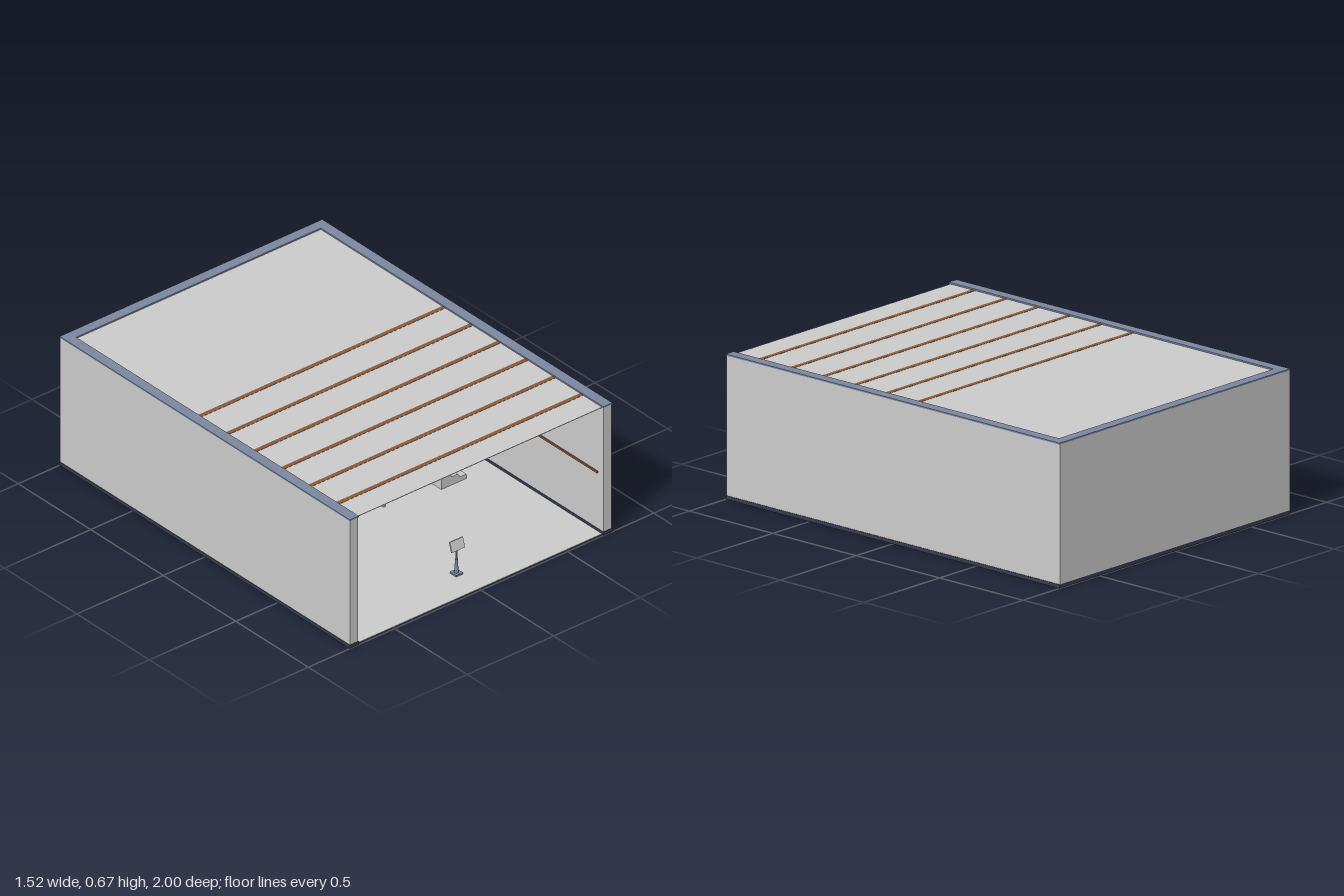
import * as THREE from 'three';

const paint = (name, color, side = THREE.FrontSide) => {
  const m = new THREE.MeshStandardMaterial({ color, side });
  m.name = name;
  return m;
};

export function createModel() {
  const root = new THREE.Group();
  root.name = 'hall';
  const grey = paint('plaster grey', 0xcccccc);
  const slate = paint('slate blue', 0x7c879f);
  const navy = paint('dark navy', 0x363c4e);
  const brown = paint('wood brown', 0x8b5a38);
  const steel = paint('steel grey', 0x8f959d);
  const black = paint('cable black', 0x222226);

  const add = (name, geometry, material, x = 0, y = 0, z = 0, parent = root) => {
    const mesh = new THREE.Mesh(geometry, material);
    mesh.name = name;
    mesh.position.set(x, y, z);
    parent.add(mesh);
    return mesh;
  };
  // Box given by its limits on each axis
  const box = (name, mat, x0, x1, y0, y1, z0, z1, parent = root) =>
    add(name, new THREE.BoxGeometry(x1 - x0, y1 - y0, z1 - z0), mat,
      (x0 + x1) / 2, (y0 + y1) / 2, (z0 + z1) / 2, parent);
  const cyl = (name, mat, r0, r1, h, x, y, z, parent = root) =>
    add(name, new THREE.CylinderGeometry(r0, r1, h, 20), mat, x, y, z, parent);
  const group = (name, x, y, z) => {
    const g = new THREE.Group();
    g.name = name;
    g.position.set(x, y, z);
    root.add(g);
    return g;
  };

  // Floor and ceiling slabs
  box('floor', grey, -0.71, 0.71, 0.001, 0.005, -0.95, 0.99);
  box('ceiling', grey, -0.71, 0.71, 0.664, 0.667, -0.95, 0.99);

  // Walls with skirting below and coping above
  const wall = (x0, x1, z0, z1) => {
    box('wall', grey, x0, x1, 0.018, 0.667, z0, z1);
    box('skirting', navy, x0 - 0.002, x1 + 0.002, 0, 0.018, z0, z1 + 0.002);
    box('coping', slate, x0 - 0.002, x1 + 0.002, 0.667, 0.674, z0, z1 + 0.002);
  };
  wall(-0.758, -0.71, -1, 0.998);
  wall(0.71, 0.758, -1, 0.998);
  wall(-0.71, 0.71, -1, -0.95);

  // Ceiling beams; the front ones show through the ceiling
  for (let i = 0; i < 10; i++) {
    const z = 0.85 - i * 0.19;
    box('beam', brown, -0.708, 0.708, 0.644, i < 6 ? 0.668 : 0.666, z - 0.011, z + 0.011);
  }

  // Stepped stands, wall rails and light strips, mirrored
  for (const s of [-1, 1]) {
    const profile = [[0.4, 0.005], [0.545, 0.005], [0.545, 0.028], [0.51, 0.028],
      [0.495, 0.048], [0.46, 0.048], [0.445, 0.07], [0.403, 0.07], [0.403, 0.117], [0.4, 0.117]]
      .map(([x, y]) => new THREE.Vector2(s * x, y));
    const stand = new THREE.ExtrudeGeometry(new THREE.Shape(profile), { depth: 0.85, bevelEnabled: false });
    add('steppedStand', stand, grey, 0, 0, -0.6);
    add('wallRail', new THREE.BoxGeometry(0.006, 0.01, 1.9), brown, s * 0.707, 0.313, 0.01);
    add('lightStrip', new THREE.BoxGeometry(0.15, 0.012, 0.85), navy, s * 0.428, 0.63, -0.175);
    for (let k = -1; k <= 1; k++) {
      const tube = cyl('lightTube', navy, 0.008, 0.008, 0.85, s * 0.428 + k * 0.045, 0.624, -0.175);
      tube.rotation.x = Math.PI / 2;
    }
  }

  // Hanging board near the back wall
  const board = group('hangingBoard', 0, 0, -0.82);
  box('boardPanel', grey, -0.1, 0.1, 0.356, 0.453, -0.012, 0.012, board);
  box('boardStripe', brown, -0.09, 0.09, 0.363, 0.371, 0.012, 0.016, board);
  for (const s of [-1, 1]) {
    cyl('cable', black, 0.0015, 0.0015, 0.1, s * 0.071, 0.502, 0, board);
    cyl('boardBolt', black, 0.004, 0.004, 0.028, s * 0.093, 0.447, 0, board).rotation.x = Math.PI / 2;
  }

  // Lectern by the entrance
  const lectern = group('lectern', 0, 0.005, 0.83);
  box('lecternBase', slate, -0.02, 0.02, 0, 0.008, -0.022, 0.022, lectern);
  cyl('lecternColumn', slate, 0.006, 0.01, 0.07, 0, 0.043, 0, lectern);
  cyl('lecternPost', steel, 0.004, 0.004, 0.07, 0, 0.11, 0, lectern);
  const panel = add('lecternPanel', new THREE.BoxGeometry(0.075, 0.05, 0.008), grey, 0, 0.153, 0.004, lectern);
  panel.rotation.x = -0.3;

  // Seat at the far end with wooden wheels and armrests
  const seat = group('farSeat', 0, 0, -0.82);
  add('seatBowl', new THREE.SphereGeometry(0.03, 20, 10, 0, Math.PI * 2, Math.PI / 2, Math.PI / 2),
    paint('bowl grey', 0x6c7178, THREE.DoubleSide), 0, 0.137, 0, seat);
  cyl('seatStem', steel, 0.012, 0.018, 0.11, 0, 0.06, 0, seat);
  for (const s of [-1, 1]) {
    cyl('wheel', brown, 0.017, 0.017, 0.02, s * 0.04, 0.04, 0.02, seat).rotation.x = Math.PI / 2;
    box('armrest', brown, s * 0.034 - 0.011, s * 0.034 + 0.011, 0.092, 0.106, -0.02, 0.02, seat);
    cyl('strut', grey, 0.006, 0.008, 0.05, s * 0.034, 0.07, 0, seat).rotation.z = s * 0.2;
    box('foot', navy, s * 0.035 - 0.014, s * 0.035 + 0.014, 0.005, 0.024, -0.02, 0.02, seat);
  }

  // Small statuette on the floor
  const statue = group('statuette', 0.116, 0.005, 0.19);
  cyl('statuetteBase', steel, 0.007, 0.009, 0.012, 0, 0.006, 0, statue);
  add('statuetteBody', new THREE.SphereGeometry(0.011, 16, 12), steel, 0, 0.022, 0, statue);
  cyl('statuetteNeck', steel, 0.004, 0.004, 0.02, 0, 0.035, 0, statue);
  add('statuetteHead', new THREE.SphereGeometry(0.011, 16, 12), steel, 0, 0.05, 0, statue);

  return root;
}
